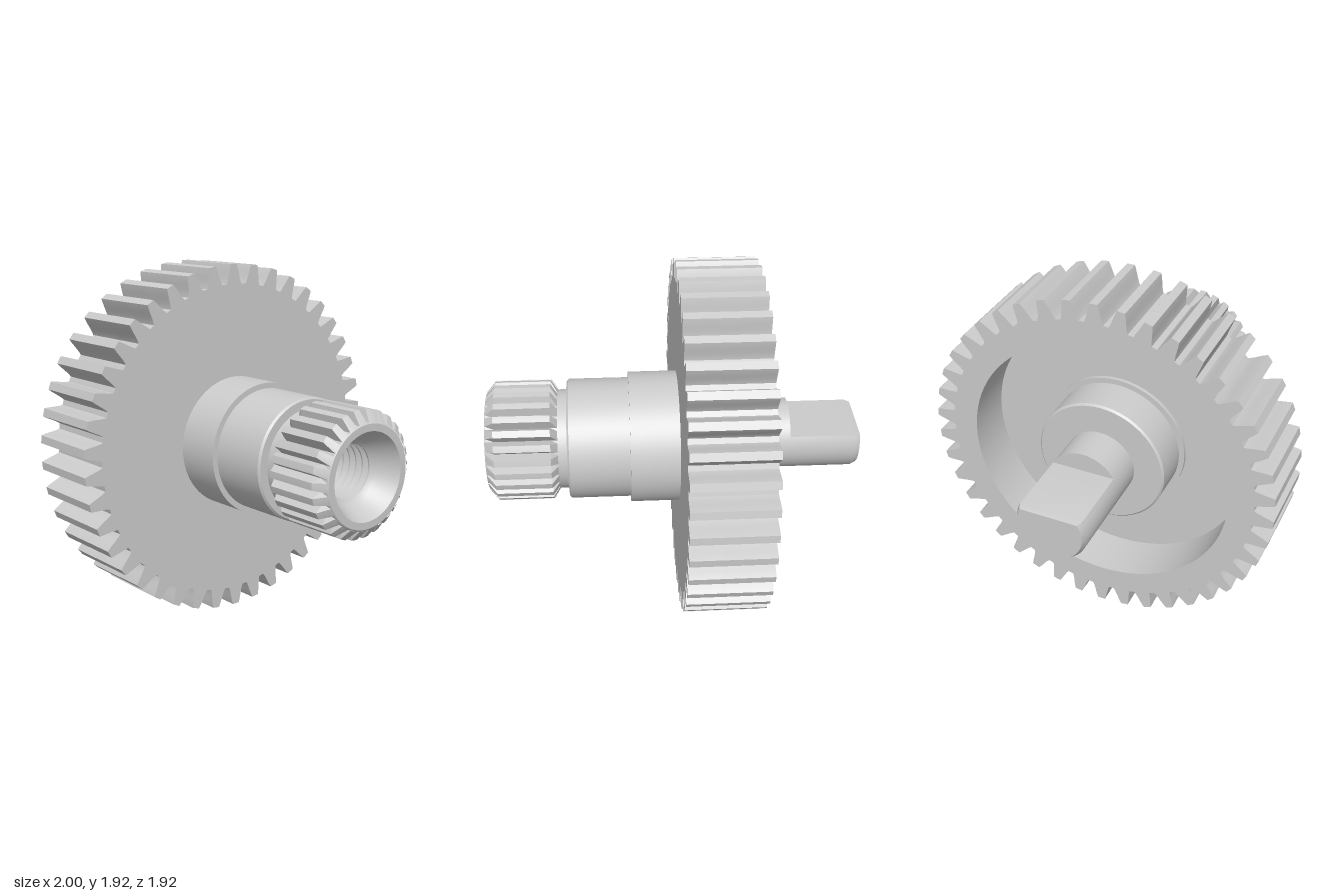
import * as THREE from 'three';
import { toCreasedNormals } from 'three/addons/utils/BufferGeometryUtils.js';

const TAU = Math.PI * 2;
const grey = new THREE.MeshStandardMaterial({ color: 0xcccccc });

function part(name, geometry, crease = 0.5) {
  const mesh = new THREE.Mesh(toCreasedNormals(geometry, crease), grey);
  mesh.name = name;
  return mesh;
}

// Skin between cross-sections along x; each section is a loop of [x, y, z] turning from +y to +z.
function loft(sections, capStart) {
  const pos = [];
  const n = sections[0].length;
  for (let j = 0; j < sections.length - 1; j++) {
    for (let i = 0; i < n; i++) {
      const k = (i + 1) % n;
      const a = sections[j][i], b = sections[j][k];
      const c = sections[j + 1][k], d = sections[j + 1][i];
      pos.push(...a, ...b, ...c, ...a, ...c, ...d);
    }
  }
  if (capStart) {
    const s = sections[0];
    for (let i = 0; i < n; i++) pos.push(s[0][0], 0, 0, ...s[(i + 1) % n], ...s[i]);
  }
  const geometry = new THREE.BufferGeometry();
  geometry.setAttribute('position', new THREE.Float32BufferAttribute(pos, 3));
  return geometry;
}

// Gear outline: 42 curved teeth, each flank given as [radius, half angle]
function gearShape(holeRadius) {
  const flank = [[0.855, 0.058], [0.868, 0.051], [0.89, 0.043], [0.915, 0.036], [0.94, 0.029], [0.96, 0.022]];
  const tooth = [...flank.map(([r, a]) => [r, -a]), ...flank.slice().reverse()];
  const count = 42;
  const points = [];
  for (let t = 0; t < count; t++) {
    for (const [r, a] of tooth) {
      const angle = Math.PI / 2 + (t / count) * TAU + a;
      points.push(new THREE.Vector2(r * Math.cos(angle), r * Math.sin(angle)));
    }
  }
  const shape = new THREE.Shape(points);
  const hole = new THREE.Path();
  hole.absarc(0, 0, holeRadius, 0, TAU, true);
  shape.holes.push(hole);
  return shape;
}

function gearSlab(name, holeRadius, x0, x1) {
  const geometry = new THREE.ExtrudeGeometry(gearShape(holeRadius), {
    depth: x1 - x0, bevelEnabled: false, curveSegments: 48,
  });
  geometry.rotateY(Math.PI / 2).translate(x0, 0, 0);
  return part(name, geometry, 0.4);
}

// Stepped shaft with hubs, countersink and open threaded bore, as [radius, x]
function shaft() {
  const profile = [
    [0, -0.62], [0.19, -0.62], [0.19, -0.42], [0.345, -0.42], [0.355, -0.41], [0.355, -0.21],
    [0.385, -0.21], [0.385, -0.15], [0.355, -0.15], [0.355, 0.24], [0.325, 0.24],
    [0.325, 0.56], [0.315, 0.57], [0.27, 0.57], [0.268, 0.62], [0.268, 0.995],
    [0.262, 1], [0.225, 1], [0.165, 0.89],
  ];
  for (let i = 0; i < 10; i++) {
    const x = 0.87 - i * 0.045;
    profile.push([0.14, x], [0.14, x - 0.008], [0.168, x - 0.022], [0.168, x - 0.028]);
  }
  profile.push([0.14, 0.42]);
  const geometry = new THREE.LatheGeometry(profile.map(([r, x]) => new THREE.Vector2(r, x)), 72);
  geometry.rotateZ(-Math.PI / 2);
  return part('steppedShaft', geometry);
}

// D-shaped shaft end with a flat on top and a chamfered tip
function flattedEnd() {
  const radius = 0.19, flat = 0.088;
  const edge = Math.acos(flat / radius);
  const section = (x, s) => {
    const loop = [];
    for (let i = 0; i <= 48; i++) {
      const a = edge + (i / 48) * (TAU - 2 * edge);
      loop.push([x, s * radius * Math.cos(a), s * radius * Math.sin(a)]);
    }
    return loop;
  };
  return part('flattedShaftEnd', loft([section(-1, 0.92), section(-0.97, 1), section(-0.62, 1)], true));
}

// Splined collar with V grooves, chamfered at both ends
function spline() {
  const count = 26, root = 0.268, tip = 0.325;
  const groove = [[0, root], [0.27, tip], [0.5, tip], [0.73, tip]];
  const section = ([x, limit]) => {
    const loop = [];
    for (let t = 0; t < count; t++) {
      for (const [f, r] of groove) {
        const a = ((t + f) / count) * TAU;
        const rr = Math.min(r, limit);
        loop.push([x, rr * Math.cos(a), rr * Math.sin(a)]);
      }
    }
    return loop;
  };
  const stations = [[0.62, root], [0.655, tip], [0.95, tip], [0.997, 0.27]];
  return part('splinedCollar', loft(stations.map(section), false), 0.3);
}

export function createModel() {
  const model = new THREE.Group();
  model.name = 'gearShaft';
  const axle = new THREE.Group();
  axle.name = 'axle';
  axle.add(
    gearSlab('gearRim', 0.72, -0.455, -0.19),
    gearSlab('gearWeb', 0.3, -0.19, -0.02),
    shaft(),
    flattedEnd(),
    spline(),
  );
  // The axle leans very slightly
  axle.rotation.z = 0.0085;
  axle.position.y = 0.967;
  model.add(axle);
  return model;
}
